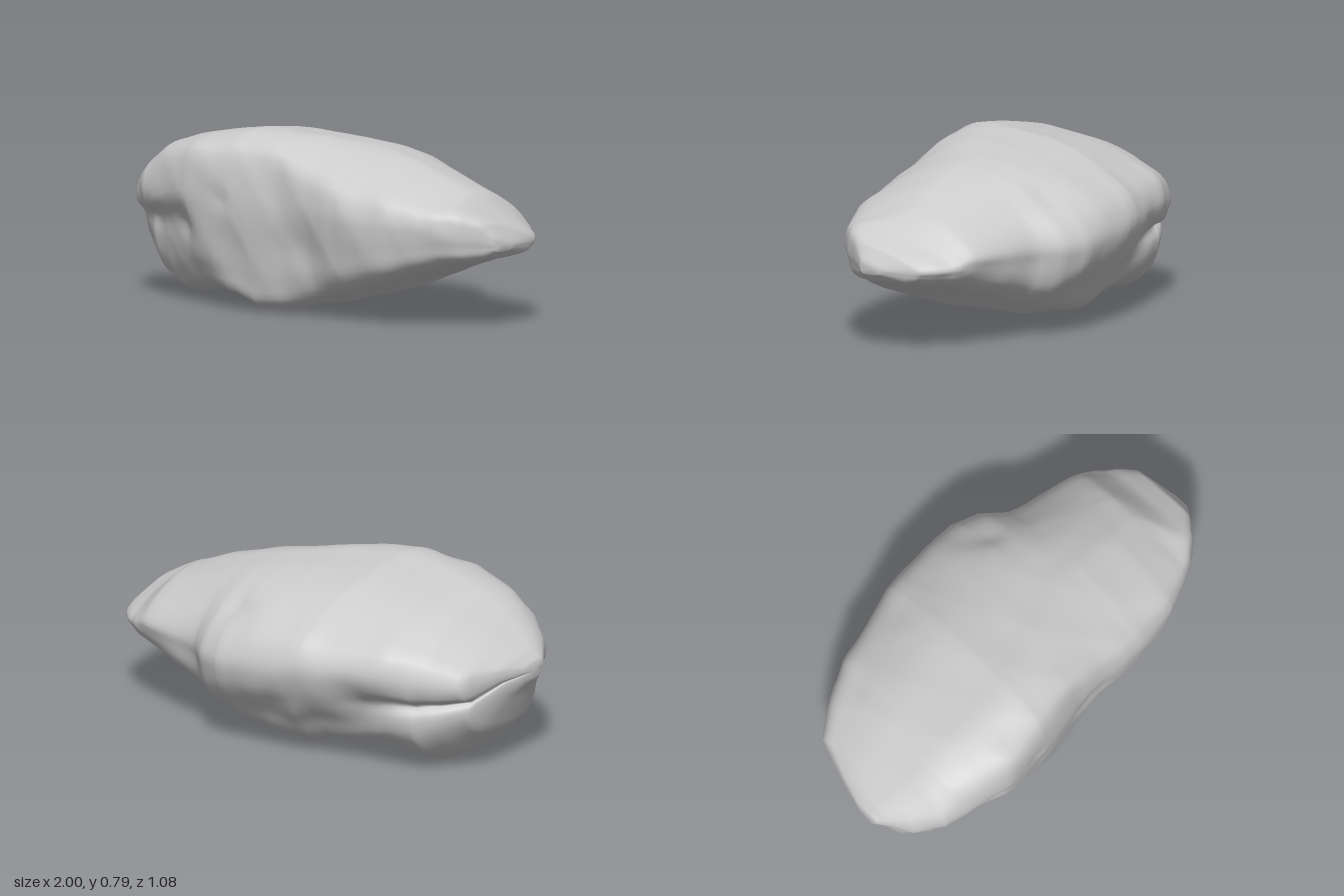
import * as THREE from 'three';

// Stations along the boulder: x, back z, front z, bottom y, top y
const STATIONS = [
  [-1.0, 0.14, 0.25, 0.39, 0.46], [-0.96, -0.01, 0.31, 0.32, 0.505], [-0.9, -0.19, 0.4, 0.17, 0.55],
  [-0.79, -0.28, 0.485, 0.07, 0.63], [-0.7, -0.34, 0.5, 0.01, 0.69], [-0.6, -0.39, 0.515, 0.03, 0.72],
  [-0.45, -0.44, 0.54, 0.05, 0.75], [-0.24, -0.5, 0.51, 0.04, 0.785], [-0.14, -0.515, 0.49, 0.0, 0.78],
  [0.02, -0.54, 0.45, 0.02, 0.765], [0.18, -0.55, 0.44, 0.06, 0.74], [0.3, -0.51, 0.45, 0.09, 0.72],
  [0.4, -0.43, 0.445, 0.12, 0.7], [0.6, -0.38, 0.41, 0.19, 0.64], [0.74, -0.35, 0.34, 0.245, 0.585],
  [0.82, -0.33, 0.29, 0.275, 0.54], [0.9, -0.26, 0.23, 0.29, 0.5], [0.96, -0.19, 0.15, 0.305, 0.465],
  [1.0, -0.01, 0.09, 0.34, 0.39],
];

// Cross-sections, from the crest over the back, underside and front
// (first: -1 back to 1 front; second: 0 bottom to 1 top)
const MIDDLE = [
  [0.55, 1], [0.25, 0.98], [-0.1, 0.95], [-0.4, 0.89], [-0.7, 0.79], [-0.92, 0.68], [-1, 0.55],
  [-0.96, 0.42], [-0.86, 0.31], [-0.73, 0.2], [-0.6, 0.08], [-0.3, 0.03], [0, 0], [0.4, 0.01],
  [0.86, 0.04], [0.91, 0.16], [0.95, 0.33], [0.99, 0.5], [1, 0.66], [0.95, 0.88], [0.8, 0.96],
];
// Thick end: an overhanging slab above a lower block
const THICK = [
  [0.5, 1], [0.25, 0.99], [-0.1, 0.96], [-0.4, 0.92], [-0.7, 0.85], [-0.93, 0.76], [-1, 0.62],
  [-0.93, 0.5], [-0.78, 0.45], [-0.87, 0.38], [-0.84, 0.24], [-0.6, 0.07], [-0.1, 0], [0.3, 0.01],
  [0.55, 0.08], [0.68, 0.2], [0.76, 0.36], [0.82, 0.5], [0.98, 0.64], [0.94, 0.86], [0.76, 0.96],
];
// Thin end of the slab: central crest, shoulder along the front
const SLAB = [
  [0.1, 1], [-0.1, 0.98], [-0.3, 0.94], [-0.5, 0.87], [-0.72, 0.75], [-0.9, 0.62], [-1, 0.48],
  [-0.98, 0.37], [-0.94, 0.27], [-0.86, 0.17], [-0.66, 0.07], [-0.3, 0.03], [0, 0], [0.42, 0],
  [0.78, 0.04], [0.92, 0.14], [0.97, 0.31], [1, 0.48], [1, 0.62], [0.92, 0.78], [0.55, 0.93],
];
// Nose: crest along the front, sloping down to the back
const NOSE = [
  [0.75, 1], [0.4, 0.96], [0.1, 0.88], [-0.2, 0.79], [-0.5, 0.69], [-0.8, 0.56], [-0.98, 0.42],
  [-1, 0.33], [-0.94, 0.25], [-0.85, 0.16], [-0.65, 0.07], [-0.3, 0.03], [0, 0], [0.4, 0],
  [0.75, 0.04], [0.9, 0.15], [0.95, 0.32], [1, 0.5], [1, 0.7], [0.97, 0.87], [0.9, 0.96],
];

// Hollows: x, y, z, radius, depth
const HOLLOWS = [
  [-0.76, 0.4, 0.42, 0.09, 0.03], [-0.52, 0.34, 0.5, 0.06, 0.025], [-0.28, 0.49, 0.5, 0.04, 0.02],
  [-0.42, 0.08, 0.44, 0.12, 0.04], [0.1, 0.3, 0.42, 0.1, 0.015], [0.84, 0.42, -0.3, 0.07, 0.02],
  [0.22, 0.64, -0.38, 0.07, 0.025], [0.45, 0.35, -0.42, 0.1, 0.02], [-0.45, 0.33, -0.42, 0.1, 0.03],
];

const ROWS = 90;
const RING = 72;

// Piecewise line through the stations
function station(t) {
  const f = t * (STATIONS.length - 1);
  const i = Math.min(Math.floor(f), STATIONS.length - 2);
  return STATIONS[i].map((a, k) => THREE.MathUtils.lerp(a, STATIONS[i + 1][k], f - i));
}

// Closed outline at x, blended from the cross-sections
function outlineAt(x) {
  const { smoothstep, lerp } = THREE.MathUtils;
  const blends = [
    [THICK, smoothstep(-x, 0.32, 0.76)], [SLAB, smoothstep(x, -0.1, 0.5)], [NOSE, smoothstep(x, 0.74, 0.88)],
  ];
  const points = MIDDLE.map((middle, i) => {
    const [u, v] = middle.map((m, k) => blends.reduce((s, [shape, w]) => lerp(s, shape[i][k], w), m));
    return new THREE.Vector3(0, v, u);
  });
  return new THREE.CatmullRomCurve3(points, true, 'centripetal').getPoints(RING).slice(0, RING);
}

// Gentle uneven chipping
function chip(x, y, z) {
  return 0.5 * Math.sin(9 * x + 5 * y + 2 * Math.sin(7 * z)) * Math.sin(11 * z - 7 * y + 1.3)
    + 0.35 * Math.abs(Math.sin(13 * x - 8 * z + 9 * y)) - 0.22;
}

function shapePoint(p, cy, cz, fade) {
  const inward = new THREE.Vector3(0, cy - p.y, cz - p.z).normalize();
  // Keep the broad top smooth
  let push = chip(p.x, p.y, p.z) * (inward.y < -0.7 ? 0.005 : 0.013) * fade;
  for (const [x, y, z, r, depth] of HOLLOWS) {
    const d2 = (p.x - x) ** 2 + (p.y - y) ** 2 + (p.z - z) ** 2;
    push += depth * fade * Math.exp(-d2 / (r * r));
  }
  return p.addScaledVector(inward, push);
}

function boulderGeometry() {
  const pos = [];
  const index = [];
  for (let i = 0; i <= ROWS; i++) {
    const [x, zb, zf, yb, yt] = station(i / ROWS);
    const cz = (zb + zf) / 2;
    const cy = (yb + yt) / 2;
    const fade = Math.min(1, (1 - Math.abs(x)) * 6);
    for (const q of outlineAt(x)) {
      const p = new THREE.Vector3(x, yb + q.y * (yt - yb), cz + q.z * (zf - zb) / 2);
      pos.push(...shapePoint(p, cy, cz, fade).toArray());
    }
  }
  for (let i = 0; i < ROWS; i++) {
    for (let j = 0; j < RING; j++) {
      const k = (j + 1) % RING;
      const a = i * RING + j, b = a + RING, c = i * RING + k, d = c + RING;
      index.push(a, b, c, b, d, c);
    }
  }
  // Close both tips
  const first = pos.length / 3;
  pos.push(-1, 0.425, 0.195, 1, 0.365, 0.04);
  for (let j = 0; j < RING; j++) {
    const k = (j + 1) % RING;
    index.push(first, j, k, first + 1, ROWS * RING + k, ROWS * RING + j);
  }

  const geometry = new THREE.BufferGeometry();
  geometry.setAttribute('position', new THREE.Float32BufferAttribute(pos, 3));
  geometry.setIndex(index);
  geometry.computeBoundingBox();
  geometry.translate(0, -geometry.boundingBox.min.y, 0);
  geometry.computeVertexNormals();
  return geometry;
}

export function createModel() {
  const group = new THREE.Group();
  group.name = 'rock';
  const boulder = new THREE.Mesh(boulderGeometry(), new THREE.MeshStandardMaterial({ color: 0xcccccc }));
  boulder.name = 'boulder';
  group.add(boulder);
  return group;
}
